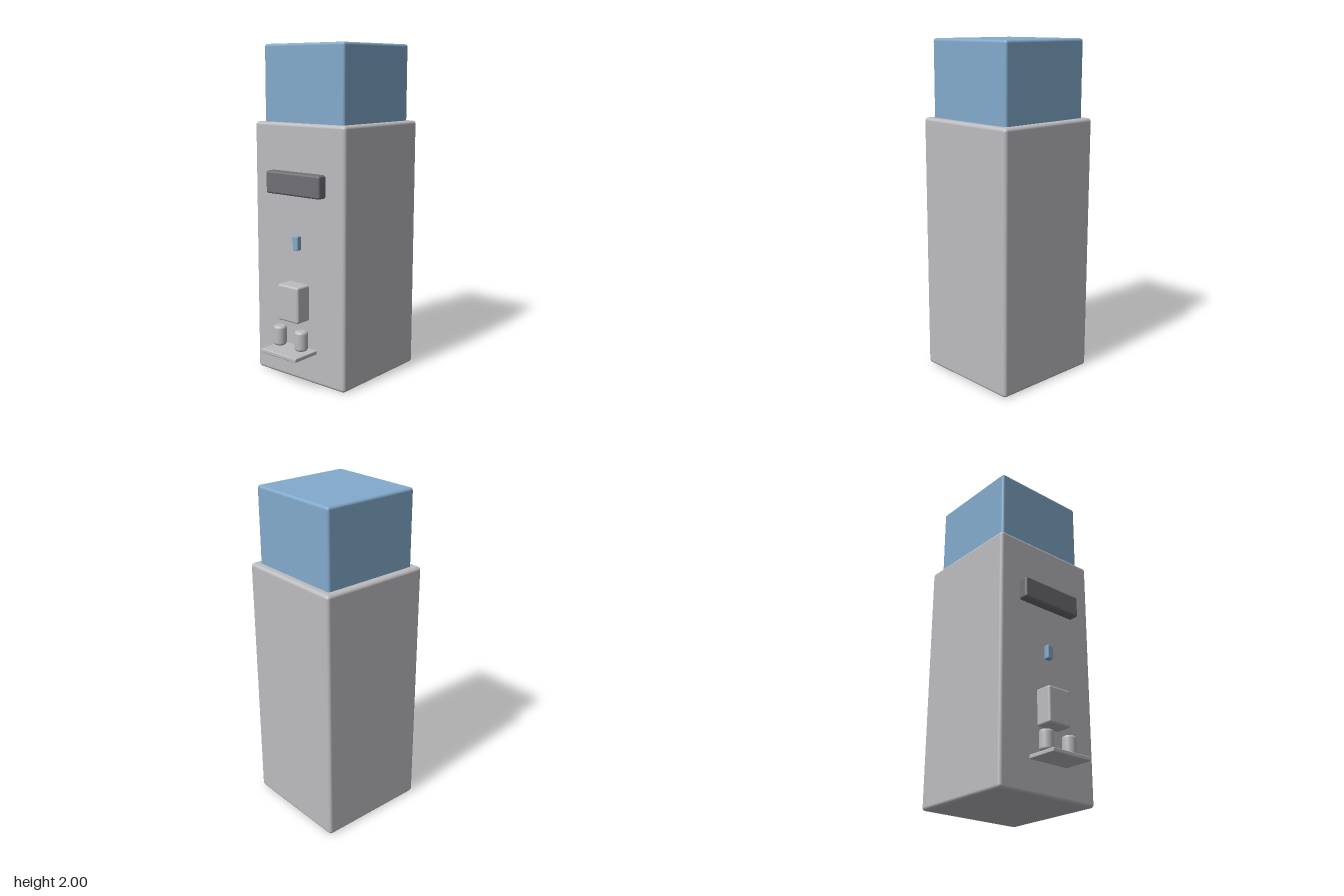
import * as THREE from 'three';
import { RoundedBoxGeometry } from 'three/addons/geometries/RoundedBoxGeometry.js';

export function createModel() {
  const model = new THREE.Group();
  model.name = 'dispenser';

  const mat = (name, color) => {
    const m = new THREE.MeshStandardMaterial({ color });
    m.name = name;
    return m;
  };
  const grey = mat('light grey casing', 0xbcbcc0);
  const blue = mat('blue', 0x82aacc);
  const dark = mat('dark grey', 0x706f74);

  // Rounded box spanning x = ±halfWidth and the given y and z ranges
  const box = (name, material, halfWidth, [y0, y1], [z0, z1], radius) => {
    const mesh = new THREE.Mesh(
      new RoundedBoxGeometry(halfWidth * 2, y1 - y0, z1 - z0, 2, radius), material);
    mesh.name = name;
    mesh.position.set(0, (y0 + y1) / 2, (z0 + z1) / 2);
    model.add(mesh);
  };

  // Casing and the tank standing in its top
  box('body', grey, 0.348, [0, 1.545], [-0.44, 0.256], 0.02);
  box('tank', blue, 0.306, [1.5, 2], [-0.398, 0.214], 0.016);

  // Fittings on the front
  box('displayPanel', dark, 0.208, [1.13, 1.265], [0.2, 0.313], 0.014);
  box('button', blue, 0.02, [0.805, 0.89], [0.22, 0.288], 0.006);
  box('spoutHousing', grey, 0.081, [0.386, 0.605], [0.2, 0.355], 0.013);
  box('dripTray', grey, 0.14, [0.19, 0.215], [0.2, 0.44], 0.006);

  // Pair of cups with softened rims above the tray
  const r = 0.04, h = 0.12, bevel = 0.016;
  const profile = [new THREE.Vector2(0, 0)];
  for (let i = 0; i <= 4; i++) {
    const a = (i / 4) * Math.PI / 2;
    profile.push(new THREE.Vector2(r - bevel + bevel * Math.sin(a), bevel - bevel * Math.cos(a)));
  }
  for (let i = 0; i <= 4; i++) {
    const a = (i / 4) * Math.PI / 2;
    profile.push(new THREE.Vector2(r - bevel + bevel * Math.cos(a), h - bevel + bevel * Math.sin(a)));
  }
  profile.push(new THREE.Vector2(0, h));
  const cupGeometry = new THREE.LatheGeometry(profile, 32);
  for (const side of [1, -1]) {
    const cup = new THREE.Mesh(cupGeometry, grey);
    cup.name = side > 0 ? 'leftCup' : 'rightCup';
    cup.position.set(side * 0.085, 0.225, 0.331);
    model.add(cup);
  }

  return model;
}
